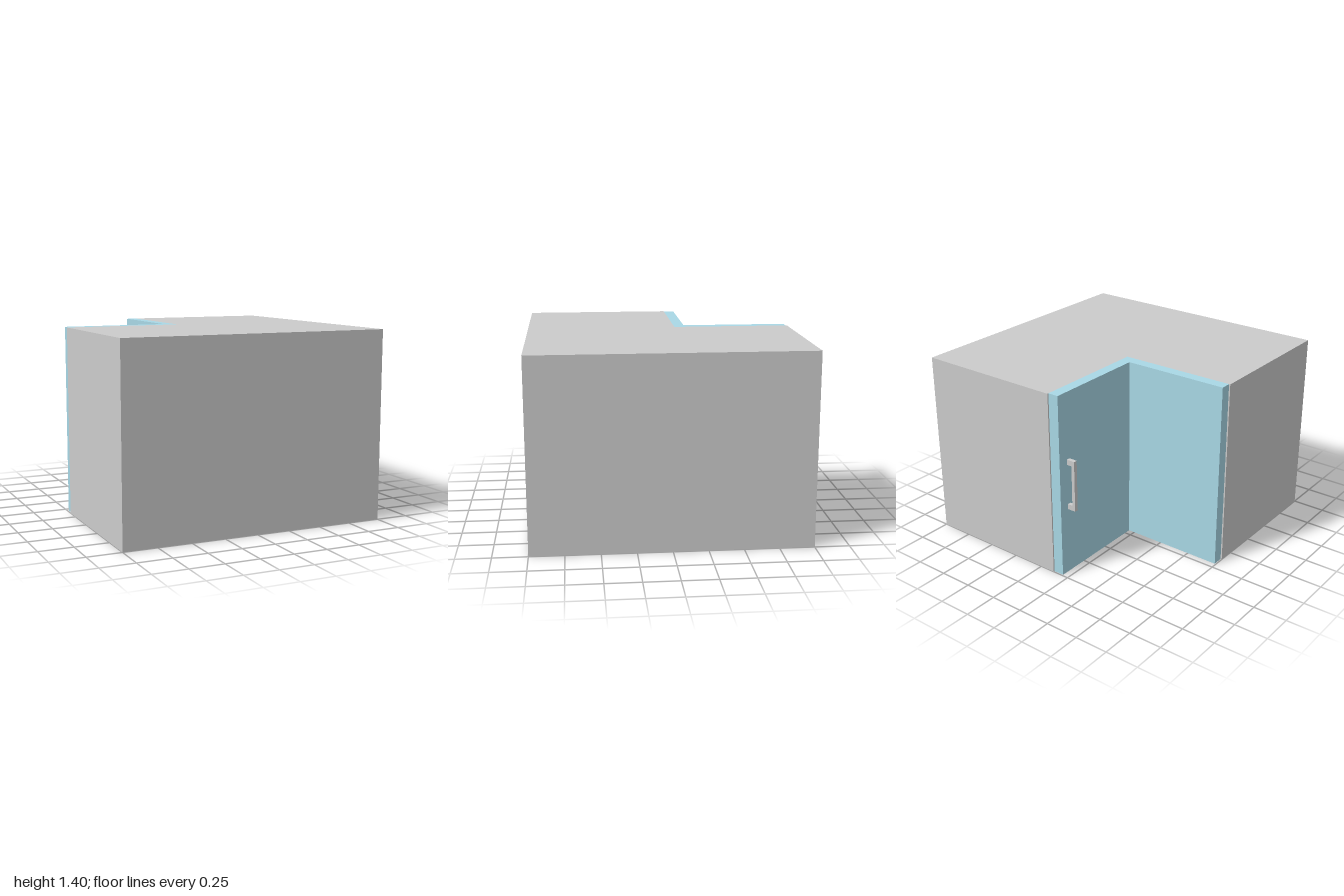
import * as THREE from 'three';

const H = 1.4;        // cabinet height
const CUT = -0.12;    // inner corner of the carcass
const FACE = -0.2;    // outer face of the doors
const END = -0.99;    // free ends of the doors

export function createModel() {
  const model = new THREE.Group();
  const grey = new THREE.MeshStandardMaterial({ color: 0xcccccc });
  const blue = new THREE.MeshStandardMaterial({ color: 0xa9d8e6 });

  // Box given by its min and max corners
  const box = (name, [x0, y0, z0], [x1, y1, z1], material, parent = model) => {
    const mesh = new THREE.Mesh(new THREE.BoxGeometry(x1 - x0, y1 - y0, z1 - z0), material);
    mesh.position.set((x0 + x1) / 2, (y0 + y1) / 2, (z0 + z1) / 2);
    mesh.name = name;
    parent.add(mesh);
  };

  // L-shaped corner carcass: plan drawn as (x, -z), extruded upwards
  const plan = new THREE.Shape(
    [[-1, 1], [1, 1], [1, -1], [CUT, -1], [CUT, CUT], [-1, CUT]]
      .map(([x, z]) => new THREE.Vector2(x, -z)));
  const carcass = new THREE.Mesh(
    new THREE.ExtrudeGeometry(plan, { depth: H, bevelEnabled: false }).rotateX(-Math.PI / 2), grey);
  carcass.name = 'carcass';
  model.add(carcass);

  // Two door leaves meeting in the inner corner
  box('handleDoor', [FACE, 0, END], [CUT, H, CUT], blue);
  box('foldingDoor', [END, 0, FACE], [FACE, H, CUT], blue);

  // Bar handle on two posts
  const handle = new THREE.Group();
  handle.name = 'handle';
  model.add(handle);
  const z0 = -0.914, z1 = -0.886, bottom = 0.51, top = 0.9, post = 0.04;
  box('handleBar', [-0.265, bottom, z0], [-0.24, top, z1], grey, handle);
  for (const y of [bottom, top - post]) {
    box('handlePost', [-0.24, y, z0], [FACE, y + post, z1], grey, handle);
  }
  return model;
}
